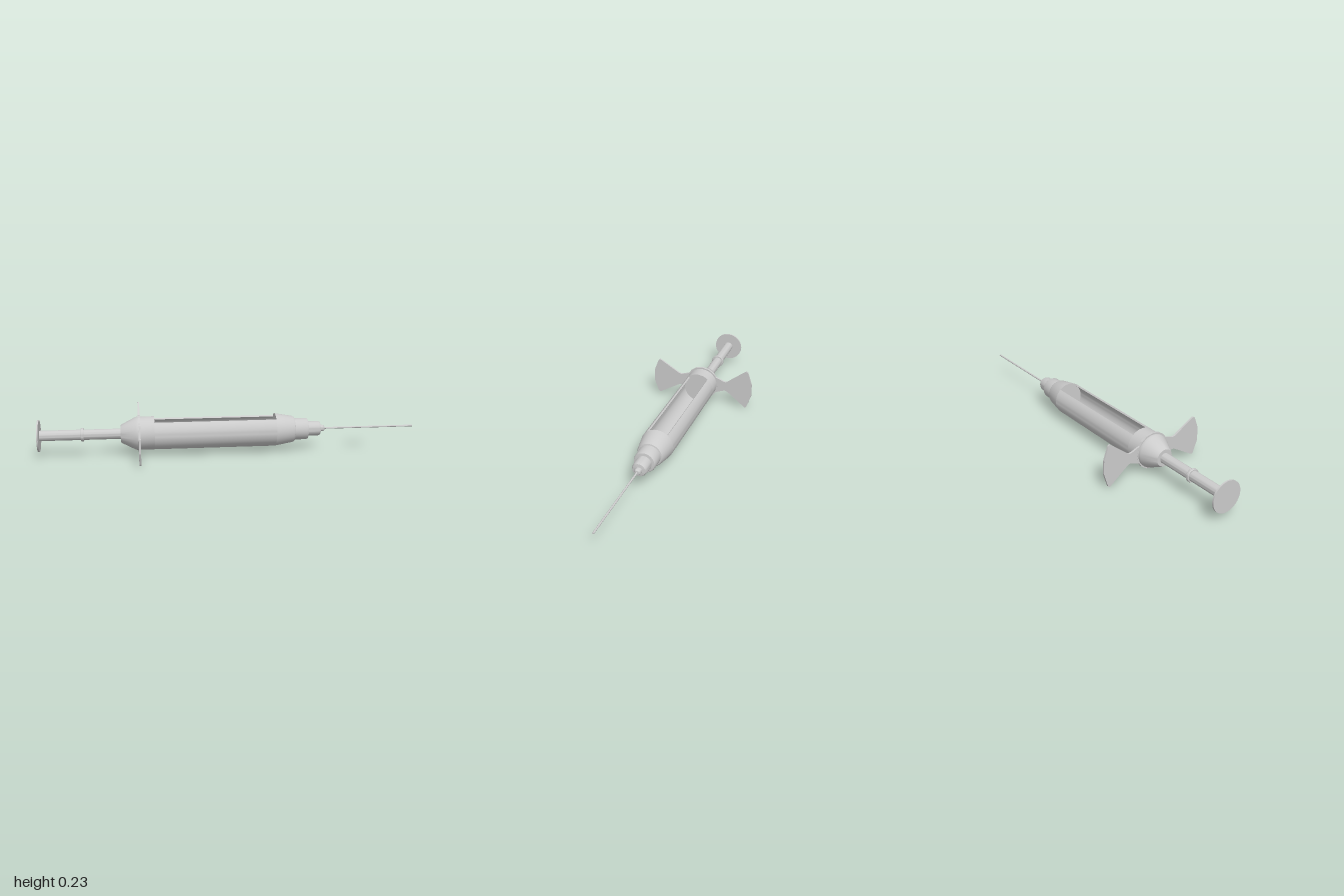
import * as THREE from 'three';
import { toCreasedNormals } from 'three/addons/utils/BufferGeometryUtils.js';

const AXIS_Y = 0.115, AXIS_Z = 0.0025, SEG = 32;

export function createModel() {
  const model = new THREE.Group();
  const material = new THREE.MeshStandardMaterial({ color: 0xcccccc, side: THREE.DoubleSide });

  function add(name, geometry) {
    const mesh = new THREE.Mesh(geometry, material);
    mesh.name = name;
    mesh.position.set(0, AXIS_Y, AXIS_Z);
    model.add(mesh);
    return mesh;
  }

  // Turned part along x; profile entries are [x, radius]
  function turned(name, profile, start = 0, length = Math.PI * 2, seg = SEG) {
    const points = profile.map(([x, r]) => new THREE.Vector2(r, x));
    const geometry = new THREE.LatheGeometry(points, seg, start, length);
    geometry.rotateZ(-Math.PI / 2);
    return add(name, toCreasedNormals(geometry, 0.5));
  }

  // Plunger: thumb disc, rod and collar
  turned('thumbDisc', [[-1, 0], [-1, 0.082], [-0.992, 0.082], [-0.992, 0]]);
  turned('plungerRod', [[-0.995, 0], [-0.995, 0.027], [-0.57, 0.027], [-0.57, 0]]);
  turned('plungerCollar', [[-0.78, 0.02], [-0.78, 0.033], [-0.777, 0.035], [-0.768, 0.035], [-0.765, 0.033], [-0.765, 0.02]]);

  // Barrel: closed rear, slotted middle and stepped nose
  const R = 0.087, INNER = 0.078, slotStart = -0.4, slotEnd = 0.24;
  turned('barrelRear', [[-0.575, 0], [-0.575, 0.045], [-0.568, 0.05], [-0.497, 0.086], [-0.485, 0.088], [-0.47, R], [slotStart, R], [slotStart, 0]]);
  const half = Math.asin(0.056 / R);
  turned('slottedBarrel', [[slotStart, INNER], [slotStart, R], [slotEnd, R], [slotEnd, INNER], [slotStart, INNER]],
    Math.PI * 1.5 + half, Math.PI * 2 - half * 2);
  turned('barrelNose', [
    [slotEnd, 0], [slotEnd, R], [0.335, 0.07], [0.343, 0.065], [0.345, 0.058],
    [0.41, 0.057], [0.416, 0.054], [0.418, 0.04],
    [0.475, 0.039], [0.485, 0.034], [0.488, 0.018],
    [0.503, 0.017], [0.51, 0.012], [0.512, 0],
  ]);

  // Cut faces along both long sides of the slot
  for (const side of [-1, 1]) {
    const edge = new THREE.PlaneGeometry(slotEnd - slotStart, R - INNER);
    edge.translate((slotStart + slotEnd) / 2, (R + INNER) / 2, 0);
    edge.rotateX(side * half);
    add('slotEdge', edge);
  }

  // Needle
  turned('needle', [[0.505, 0], [0.505, 0.005], [1, 0.005], [1, 0]], 0, Math.PI * 2, 12);

  // Finger flange: a faceted ring plate with two flared wings
  const plate = new THREE.CylinderGeometry(0.096, 0.096, 0.011, 16);
  plate.rotateZ(-Math.PI / 2).translate(-0.479, 0, 0);
  add('flangePlate', toCreasedNormals(plate, 0.3));

  function wing(name, side, neck, neckHalf, tipHalf) {
    const upper = [[0.03, 0.066], [0.085, 0.046], [neck, neckHalf], [0.265, tipHalf], [0.293, 0.036]];
    const lower = upper.map(([a, h]) => [a, -h]).reverse();
    const pts = [...upper, ...lower].map(([a, h]) => new THREE.Vector2(a * -side, h));
    const shape = new THREE.Shape();
    pts.forEach((p, i) => {
      const prev = pts[(i + pts.length - 1) % pts.length], next = pts[(i + 1) % pts.length];
      const radius = [2, 3, 6, 7].includes(i) ? 0.016 : 0.001;
      const a = prev.clone().sub(p).setLength(radius).add(p);
      const b = next.clone().sub(p).setLength(radius).add(p);
      if (i === 0) shape.moveTo(a.x, a.y);
      else shape.lineTo(a.x, a.y);
      shape.quadraticCurveTo(p.x, p.y, b.x, b.y);
    });
    const geometry = new THREE.ExtrudeGeometry(shape, { depth: 0.01, bevelEnabled: false, curveSegments: 5 });
    geometry.rotateY(Math.PI / 2).translate(-0.484, 0, 0);
    add(name, geometry);
  }
  wing('frontWing', 1, 0.132, 0.031, 0.11);
  wing('backWing', -1, 0.142, 0.024, 0.12);

  return model;
}
